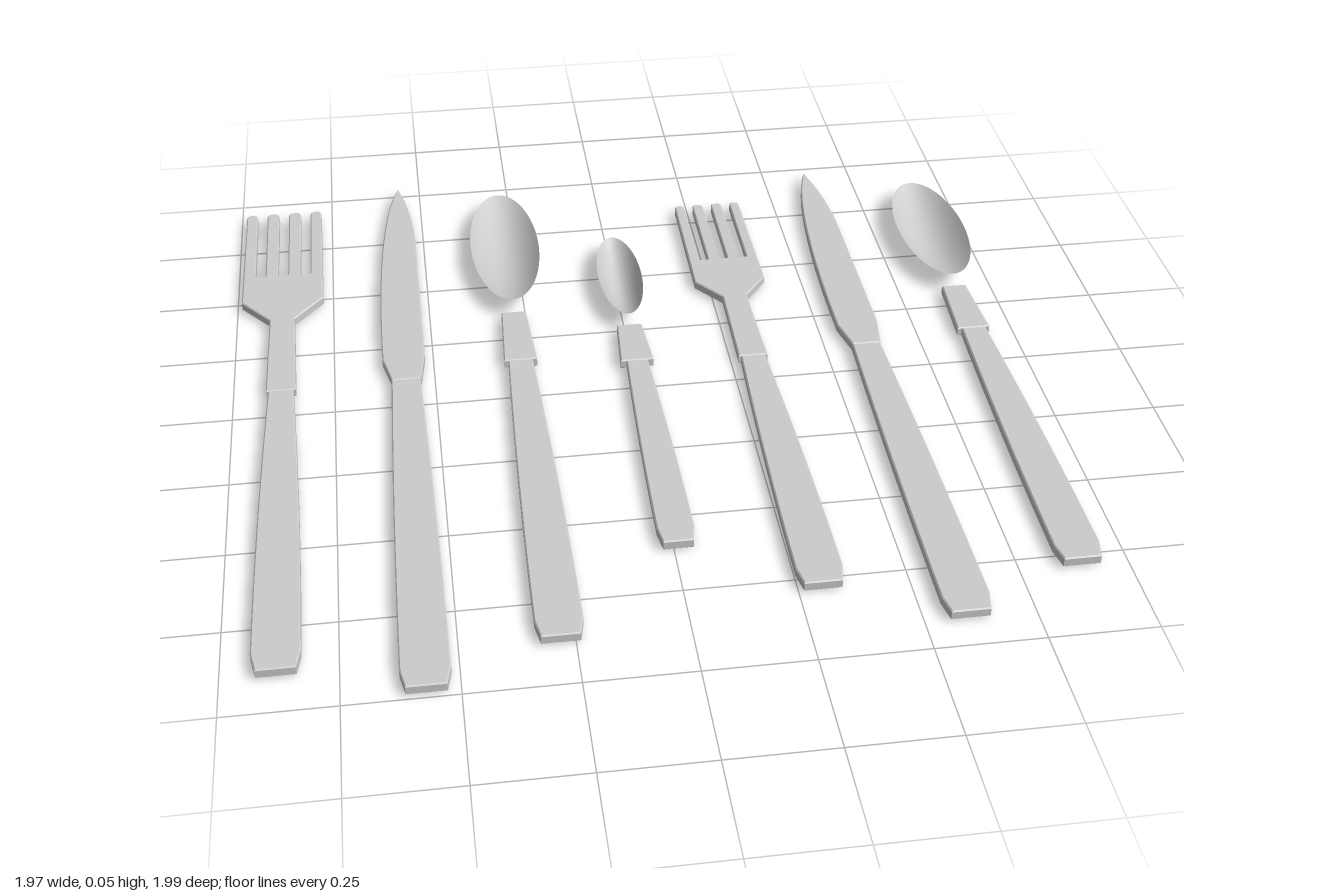
import * as THREE from 'three';

const steel = new THREE.MeshStandardMaterial({ color: 0xcccccc });
const bowlSteel = new THREE.MeshStandardMaterial({ color: 0xcccccc, side: THREE.DoubleSide });
const BASE = 0.004, THICK = 0.025, BEVEL = 0.003;

// Flat plate lying on the table: shape y points to -z
function plate(shape, name) {
  const g = new THREE.ExtrudeGeometry(shape, {
    depth: THICK - 2 * BEVEL, curveSegments: 10,
    bevelThickness: BEVEL, bevelSize: BEVEL, bevelOffset: -BEVEL, bevelSegments: 1,
  });
  g.rotateX(-Math.PI / 2).translate(0, BASE + BEVEL, 0);
  const mesh = new THREE.Mesh(g, steel);
  mesh.name = name;
  return mesh;
}

// Handle: flares from w0 at z0 to w1, with clipped corners at the far end
function handle(z0, z1, w0, w1) {
  const s = new THREE.Shape();
  const shoulder = z1 - 0.05, bend = z0 + (z1 - z0) * 0.5, tip = w1 * 0.81;
  s.moveTo(-w0, -z0);
  s.quadraticCurveTo(-w1 * 0.97, -bend, -w1, -shoulder);
  s.lineTo(-tip, -z1);
  s.lineTo(tip, -z1);
  s.lineTo(w1, -shoulder);
  s.quadraticCurveTo(w1 * 0.97, -bend, w0, -z0);
  return plate(s, 'handle');
}

// Fork: neck, shoulders and four round-tipped tines
function fork({ x, tip, slot, base, neck, joint, end, half }) {
  const s = new THREE.Shape();
  const tine = half * 0.31, r = tine * 0.42, pitch = (2 * half - tine) / 3;
  s.moveTo(-0.037, -joint);
  s.lineTo(-0.032, -neck);
  s.lineTo(-half, -base);
  for (let i = 0; i < 4; i++) {
    const a = -half + i * pitch, b = a + tine, inset = 0.003;
    const l = i === 0 ? a + inset : a, q = i === 3 ? b - inset : b;
    if (i > 0) s.lineTo(a, -slot);
    s.lineTo(l, -tip - r);
    s.quadraticCurveTo(l, -tip, l + r, -tip);
    s.lineTo(q - r, -tip);
    s.quadraticCurveTo(q, -tip, q, -tip - r);
    if (i < 3) s.lineTo(b, -slot);
  }
  s.lineTo(half, -base);
  s.lineTo(0.032, -neck);
  s.lineTo(0.037, -joint);
  const g = new THREE.Group();
  g.name = 'fork';
  g.add(plate(s, 'forkHead'), handle(joint, end, 0.031, 0.053));
  g.position.x = x;
  return g;
}

// Knife: straight spine on the right, curved edge on the left
function knife({ x, tip, end }) {
  const joint = -0.075, L = joint - tip;
  const s = new THREE.Shape();
  s.moveTo(-0.035, -joint);
  s.lineTo(-0.056, -joint + 0.09);
  s.bezierCurveTo(-0.06, -joint + L * 0.5, -0.035, -joint + L * 0.87, 0.012, -tip);
  s.bezierCurveTo(0.03, -tip - 0.06, 0.05, -tip - 0.16, 0.051, -tip - 0.3);
  s.lineTo(0.051, -joint + 0.1);
  s.lineTo(0.038, -joint);
  const g = new THREE.Group();
  g.name = 'knife';
  g.add(plate(s, 'blade'), handle(joint, end, 0.036, 0.054));
  g.position.x = x;
  return g;
}

// Spoon: shallow open bowl, a tapered collar and the handle
function spoon({ x, tip, heel, width, top, joint, end, w0, w1 }) {
  const profile = [];
  for (let i = 0; i <= 14; i++) {
    const t = i / 14;
    profile.push(new THREE.Vector2(t, t * t));
  }
  const bowlGeo = new THREE.LatheGeometry(profile, 48);
  bowlGeo.scale(width, 0.055, (heel - tip) / 2);
  const bowl = new THREE.Mesh(bowlGeo, bowlSteel);
  bowl.name = 'bowl';
  bowl.position.z = (tip + heel) / 2;

  const s = new THREE.Shape();
  s.moveTo(-0.042, -joint);
  s.lineTo(-0.032, -top);
  s.lineTo(0.032, -top);
  s.lineTo(0.042, -joint);
  const g = new THREE.Group();
  g.name = 'spoon';
  g.add(bowl, plate(s, 'collar'), handle(joint, end, w0, w1));
  g.position.x = x;
  return g;
}

export function createModel() {
  const set = new THREE.Group();
  set.name = 'cutlerySet';
  set.add(
    fork({ x: -0.881, tip: -0.907, slot: -0.59, base: -0.47, neck: -0.38, joint: -0.07, end: 0.903, half: 0.106 }),
    knife({ x: -0.572, tip: -1, end: 0.992 }),
    spoon({ x: -0.282, tip: -0.882, heel: -0.353, width: 0.092, top: -0.335, joint: -0.12, end: 0.882, w0: 0.031, w1: 0.053 }),
    spoon({ x: 0.01, tip: -0.618, heel: -0.248, width: 0.058, top: -0.238, joint: -0.08, end: 0.618, w0: 0.027, w1: 0.043 }),
    fork({ x: 0.304, tip: -0.8, slot: -0.517, base: -0.412, neck: -0.333, joint: -0.062, end: 0.793, half: 0.094 }),
    knife({ x: 0.6, tip: -0.932, end: 0.924 }),
    spoon({ x: 0.891, tip: -0.793, heel: -0.318, width: 0.092, top: -0.303, joint: -0.107, end: 0.792, w0: 0.031, w1: 0.053 }),
  );
  return set;
}
